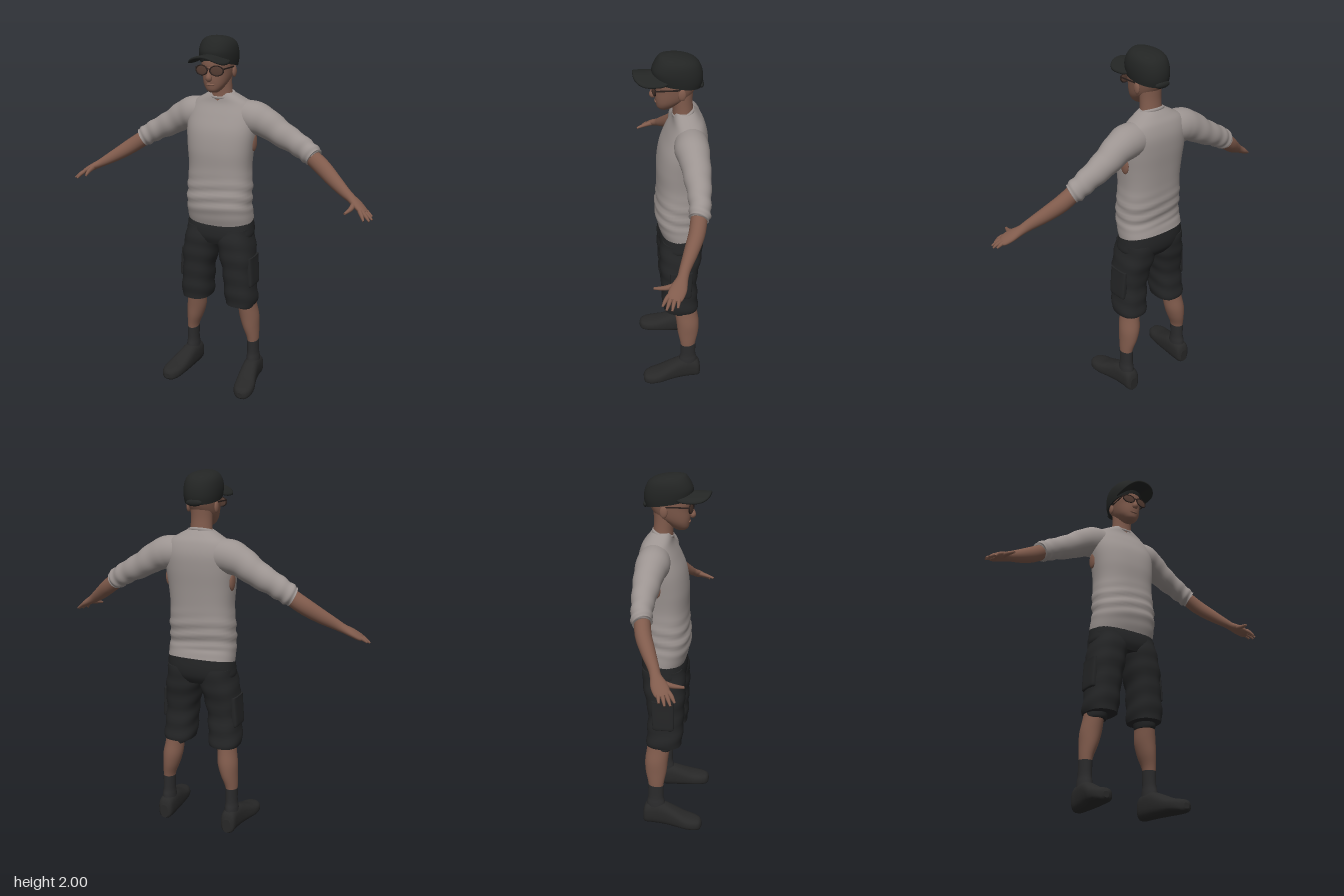
import * as THREE from 'three';

const paint = (name, color) => {
  const m = new THREE.MeshStandardMaterial({ color });
  m.name = name;
  return m;
};
const shirt = paint('grey cloth', 0x9c9491);
const skin = paint('skin', 0x805b4c);
const shortsCloth = paint('shorts black', 0x242526);
const capCloth = paint('cap black', 0x232524);
const shoeBlack = paint('shoe black', 0x282828);
const sockBlack = paint('sock black', 0x2b2b2c);
const frameDark = paint('glasses frame', 0x2a201d);
const lensBrown = paint('lens brown', 0x553d33);

// Smoothly resample control rows of equal length with a Catmull-Rom rule.
function resample(rows, steps) {
  const out = [], last = rows.length - 1;
  const at = i => rows[Math.min(last, Math.max(0, i))];
  for (let i = 0; i < last; i++) {
    for (let k = 0; k < steps; k++) {
      const t = k / steps, [a, b, c, d] = [at(i - 1), at(i), at(i + 1), at(i + 2)];
      out.push(b.map((p, j) => p + 0.5 * t * (c[j] - a[j] + t * (2 * a[j] - 5 * p + 4 * c[j] - d[j]
        + t * (3 * (p - c[j]) + d[j] - a[j])))));
    }
  }
  out.push(rows[last]);
  return out;
}

// Superellipse point on the unit circle.
function unit(a, power) {
  const f = v => Math.sign(v) * Math.abs(v) ** (2 / power);
  return [f(Math.cos(a)), f(Math.sin(a))];
}

// Skin a list of rings and close both ends with fans.
function skinRings(rings) {
  const n = rings[0].length, pos = [], idx = [];
  rings.forEach(r => r.forEach(p => pos.push(p.x, p.y, p.z)));
  for (let i = 0; i < rings.length - 1; i++) {
    for (let j = 0; j < n; j++) {
      const a = i * n + j, b = i * n + (j + 1) % n;
      idx.push(a, b, b + n, a, b + n, a + n);
    }
  }
  [0, rings.length - 1].forEach(i => {
    const start = pos.length / 3;
    const mid = rings[i].reduce((s, p) => s.add(p), new THREE.Vector3()).divideScalar(n);
    [...rings[i], mid].forEach(p => pos.push(p.x, p.y, p.z));
    for (let j = 0; j < n; j++) {
      const a = start + j, b = start + (j + 1) % n;
      idx.push(start + n, ...(i ? [a, b] : [b, a]));
    }
  });
  const g = new THREE.BufferGeometry();
  g.setAttribute('position', new THREE.Float32BufferAttribute(pos, 3));
  g.setIndex(idx);
  g.computeVertexNormals();
  return g;
}

// Upright loft; rows: [y, centre x, half width, front z, back z, optional tilt].
function column(rows, { power = 2, steps = 4, n = 32, fold = () => 0 } = {}) {
  const full = rows.map(([y, cx, rx, zf, zb, tilt = 0]) => [y, cx, rx, zf, zb, tilt]);
  return skinRings(resample(full, steps).map(([y, cx, rx, zf, zb, tilt]) =>
    Array.from({ length: n }, (_, j) => {
      const a = j / n * Math.PI * 2, [c, s] = unit(a, power), f = fold(y, a);
      const z = (zf + zb) / 2 - s * ((zf - zb) / 2 + f);
      return new THREE.Vector3(cx + c * (rx + f), y + tilt * z, z);
    })));
}

// Loft along a path; rows: [x, y, z, radius along ref, radius across].
function limb(rows, { ref = [0, 0, 1], axis, power = 2, steps = 4, n = 20, fold = () => 0 } = {}) {
  const pts = resample(rows, steps), last = pts.length - 1;
  return skinRings(pts.map(([x, y, z, ru, rv], i) => {
    const a = pts[Math.max(0, i - 1)], b = pts[Math.min(last, i + 1)];
    const w = axis ? new THREE.Vector3(...axis)
      : new THREE.Vector3(b[0] - a[0], b[1] - a[1], b[2] - a[2]).normalize();
    const u = new THREE.Vector3(...ref);
    u.addScaledVector(w, -u.dot(w)).normalize();
    const v = w.clone().cross(u);
    return Array.from({ length: n }, (_, j) => {
      const t = j / n * Math.PI * 2, [c, s] = unit(t, power), f = fold(i / last, t);
      return new THREE.Vector3(x, y, z).addScaledVector(u, c * (ru + f)).addScaledVector(v, s * (rv + f));
    });
  }));
}

const ball = (x, y, z, rx, ry, rz) =>
  new THREE.SphereGeometry(1, 20, 14).scale(rx, ry, rz).translate(x, y, z);

function mirrored(geometry) {
  const g = geometry.clone().scale(-1, 1, 1), ix = g.index.array;
  for (let i = 0; i < ix.length; i += 3) [ix[i], ix[i + 1]] = [ix[i + 1], ix[i]];
  return g;
}

export function createModel() {
  const model = new THREE.Group();
  model.name = 'standingMan';
  const add = (name, geometry, material) => {
    const m = new THREE.Mesh(geometry, material);
    m.name = name;
    model.add(m);
  };
  const pair = (name, geometry, material) => {
    add('left' + name, geometry, material);
    add('right' + name, mirrored(geometry), material);
  };

  // Sweater body with soft folds above the hem
  const waistFold = (y, a) => 0.005 * Math.sin(y * 95 + 1.6 * Math.sin(a * 2 + 0.5))
    * Math.exp(-(((y - 1.15) / 0.08) ** 2));
  add('sweaterBody', column([
    [0.985, 0, 0.189, 0.062, -0.176, -0.2], [1.04, 0, 0.189, 0.08, -0.168, -0.1],
    [1.1, 0, 0.186, 0.092, -0.16], [1.2, 0, 0.184, 0.085, -0.168], [1.3, 0, 0.178, 0.08, -0.17],
    [1.4, 0, 0.186, 0.08, -0.176], [1.5, 0, 0.196, 0.064, -0.184], [1.58, 0, 0.195, 0.03, -0.183],
    [1.64, 0, 0.17, 0.0, -0.165], [1.675, 0, 0.115, -0.008, -0.14], [1.7, 0, 0.068, -0.015, -0.118],
  ], { power: 2.4, n: 48, steps: 6, fold: waistFold }), shirt);
  add('collar', new THREE.TorusGeometry(0.064, 0.009, 10, 32).rotateX(Math.PI / 2)
    .scale(1.05, 1, 0.82).rotateX(0.3).translate(0, 1.69, -0.06), shirt);
  pair('UnderarmOpening', ball(0.186, 1.44, -0.075, 0.012, 0.05, 0.03), skin);

  // Pushed-up sleeves
  pair('Sleeve', limb([
    [0.1, 1.575, -0.085, 0.08, 0.085], [0.18, 1.57, -0.086, 0.087, 0.09],
    [0.25, 1.545, -0.093, 0.077, 0.08], [0.33, 1.497, -0.098, 0.068, 0.07],
    [0.42, 1.452, -0.098, 0.057, 0.062], [0.48, 1.418, -0.094, 0.052, 0.058],
    [0.515, 1.396, -0.088, 0.051, 0.054], [0.525, 1.39, -0.085, 0.043, 0.045],
  ], { n: 28, steps: 6, fold: (t, a) => 0.004 * t * Math.sin(t * 42 + 1.8 * Math.cos(a)) }), shirt);

  // Forearms, palms and spread fingers
  pair('Forearm', limb([
    [0.47, 1.42, -0.094, 0.04, 0.042], [0.57, 1.352, -0.072, 0.04, 0.044],
    [0.65, 1.298, -0.035, 0.035, 0.038], [0.72, 1.255, 0.0, 0.027, 0.029],
    [0.76, 1.232, 0.016, 0.027, 0.023], [0.8, 1.21, 0.036, 0.039, 0.02],
    [0.835, 1.188, 0.056, 0.038, 0.016], [0.85, 1.18, 0.064, 0.028, 0.01],
  ]), skin);
  [[0.035, 0.882, 1.162, 0.048], [0.052, 0.89, 1.154, 0.075],
    [0.068, 0.882, 1.152, 0.1], [0.084, 0.857, 1.155, 0.116]].forEach(([z, tx, ty, tz], i) =>
    pair('Finger' + (i + 1), limb([[0.825, 1.193, z, 0.01, 0.011],
      [(0.825 + tx) / 2, (1.2 + ty) / 2, (z + tz) / 2, 0.01, 0.01], [tx, ty, tz, 0.005, 0.005]],
    { n: 10 }), skin));
  pair('Thumb', limb([[0.785, 1.216, 0.045, 0.014, 0.016], [0.785, 1.202, 0.095, 0.012, 0.012],
    [0.77, 1.19, 0.148, 0.006, 0.006]], { ref: [1, 0, 0], n: 10 }), skin);

  // Shorts: seat, legs, side pockets
  add('shortsSeat', column([[0.87, 0, 0.15, 0.055, -0.14], [0.91, 0, 0.193, 0.07, -0.166],
    [0.96, 0, 0.192, 0.069, -0.176], [1.0, 0, 0.187, 0.06, -0.174, -0.1]],
  { power: 2.5 }), shortsCloth);
  pair('ShortsLeg', column([
    [0.505, 0.14, 0.086, 0.058, -0.138], [0.53, 0.14, 0.089, 0.062, -0.14],
    [0.6, 0.135, 0.089, 0.067, -0.136], [0.7, 0.126, 0.088, 0.07, -0.132],
    [0.8, 0.115, 0.1, 0.075, -0.148], [0.88, 0.1, 0.1, 0.075, -0.163], [0.96, 0.093, 0.095, 0.062, -0.165],
  ], { power: 2.4, fold: (y, a) => 0.003 * Math.sin(y * 60 + 2 * Math.sin(a)) }), shortsCloth);
  pair('CargoPocket', column([[0.63, 0.212, 0.012, 0.02, -0.09], [0.65, 0.212, 0.018, 0.025, -0.095],
    [0.77, 0.205, 0.016, 0.025, -0.1], [0.8, 0.202, 0.018, 0.025, -0.1]], { power: 4 }), shortsCloth);

  // Legs, knee bands, socks, shoes
  pair('Leg', column([[0.2, 0.199, 0.028, -0.045, -0.118], [0.27, 0.197, 0.034, -0.036, -0.126],
    [0.34, 0.183, 0.047, -0.022, -0.142], [0.41, 0.172, 0.056, -0.015, -0.146],
    [0.48, 0.163, 0.053, -0.006, -0.136], [0.54, 0.155, 0.053, 0.0, -0.13]]), skin);
  pair('KneeBand', column([[0.475, 0.155, 0.053, 0.002, -0.12], [0.49, 0.155, 0.057, 0.008, -0.125],
    [0.53, 0.15, 0.06, 0.012, -0.13]]), shortsCloth);
  pair('Sock', column([[0.08, 0.2, 0.04, -0.02, -0.138], [0.14, 0.2, 0.037, -0.03, -0.135],
    [0.18, 0.199, 0.033, -0.038, -0.127], [0.25, 0.198, 0.034, -0.036, -0.128, -0.1]]), sockBlack);
  pair('Shoe', limb([
    [0.2, 0.048, -0.155, 0.024, 0.04], [0.2, 0.063, -0.14, 0.042, 0.062], [0.2, 0.071, -0.09, 0.046, 0.071],
    [0.205, 0.068, -0.03, 0.049, 0.068], [0.214, 0.056, 0.03, 0.054, 0.056], [0.226, 0.044, 0.09, 0.059, 0.043],
    [0.232, 0.038, 0.14, 0.055, 0.037], [0.235, 0.034, 0.175, 0.038, 0.031], [0.236, 0.032, 0.188, 0.015, 0.015],
  ], { ref: [1, 0, 0], axis: [0, 0, 1], power: 2.6, n: 28 }), shoeBlack);

  // Neck, head, nose, mouth and ears
  add('neck', column([[1.64, 0, 0.07, -0.005, -0.115], [1.7, 0, 0.06, -0.006, -0.11],
    [1.76, 0, 0.058, -0.002, -0.106], [1.82, 0, 0.06, 0, -0.11]]), skin);
  add('head', column([[1.712, 0, 0.022, 0.06, 0.01], [1.725, 0, 0.038, 0.074, -0.01],
    [1.75, 0, 0.056, 0.08, -0.045], [1.78, 0, 0.068, 0.084, -0.09], [1.82, 0, 0.076, 0.085, -0.118],
    [1.86, 0, 0.08, 0.092, -0.132], [1.92, 0, 0.078, 0.085, -0.13]], { power: 2.2 }), skin);
  add('nose', limb([[0, 1.845, 0.082, 0.008, 0.01], [0, 1.815, 0.09, 0.011, 0.012],
    [0, 1.79, 0.095, 0.017, 0.017], [0, 1.778, 0.088, 0.012, 0.01]], { ref: [1, 0, 0], n: 12 }), skin);
  add('mouth', ball(0, 1.755, 0.077, 0.024, 0.007, 0.009), skin);
  pair('Ear', ball(0.08, 1.815, -0.045, 0.01, 0.031, 0.02), skin);

  // Glasses
  pair('GlassesRim', new THREE.TorusGeometry(0.032, 0.0035, 8, 28).scale(1.12, 0.78, 1)
    .rotateY(0.18).translate(0.043, 1.83, 0.091), frameDark);
  pair('Lens', ball(0, 0, 0, 0.034, 0.024, 0.003).rotateY(0.18).translate(0.043, 1.83, 0.09), lensBrown);
  pair('GlassesArm', new THREE.BoxGeometry(0.004, 0.007, 0.125).translate(0.081, 1.84, 0.022), frameDark);
  add('glassesBridge', new THREE.BoxGeometry(0.02, 0.005, 0.005).translate(0, 1.838, 0.097), frameDark);

  // Cap crown, arched brim and back strap
  add('capCrown', column([
    [1.855, 0, 0.09, 0.088, -0.146, 0.17], [1.885, 0, 0.095, 0.096, -0.155, 0.12],
    [1.92, 0, 0.096, 0.098, -0.152, 0.05], [1.955, 0, 0.089, 0.086, -0.134],
    [1.98, 0, 0.071, 0.07, -0.1], [1.994, 0, 0.042, 0.055, -0.05], [2.0, 0, 0.006, 0.02, 0.0],
  ], { power: 2.2, n: 40 }), capCloth);
  const brim = column([[0, 0, 0.01, 0.09, 0.07], [0, 0, 0.055, 0.14, 0.03], [0, 0, 0.093, 0.187, -0.01],
    [0.006, 0, 0.096, 0.19, -0.013], [0.012, 0, 0.093, 0.187, -0.01], [0.012, 0, 0.055, 0.14, 0.03],
    [0.012, 0, 0.01, 0.09, 0.07]], { power: 2.8, n: 40, steps: 2 });
  const p = brim.attributes.position;
  for (let i = 0; i < p.count; i++) p.setY(i, p.getY(i) + 1.9 - 4.2 * p.getX(i) ** 2);
  brim.computeVertexNormals();
  add('capBrim', brim, capCloth);
  add('capStrap', ball(0, 1.842, -0.146, 0.045, 0.018, 0.014), capCloth);

  return model;
}
